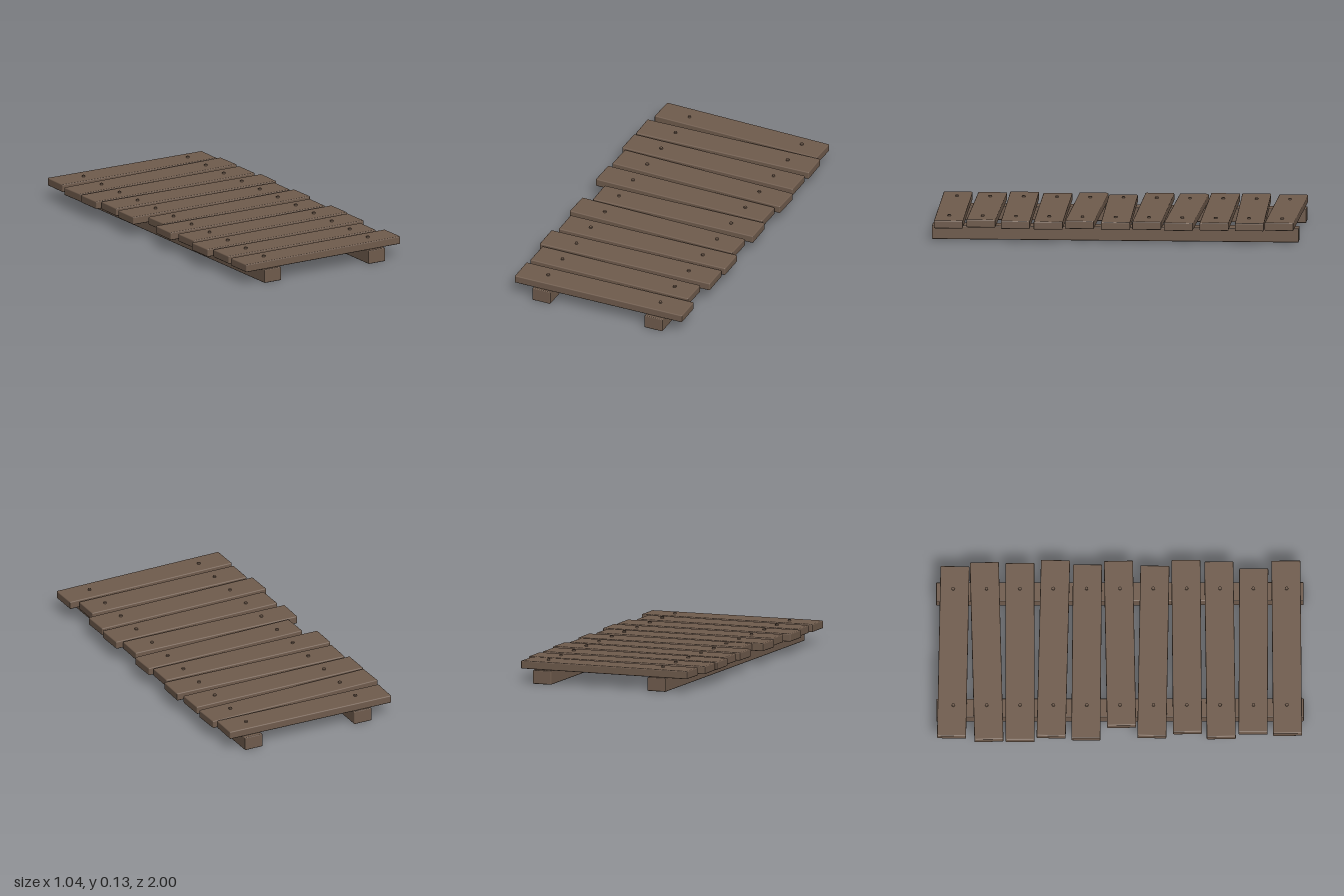
import * as THREE from 'three';
import { RoundedBoxGeometry } from 'three/addons/geometries/RoundedBoxGeometry.js';

export function createModel() {
  const group = new THREE.Group();
  group.name = 'plankWalkway';
  const wood = new THREE.MeshStandardMaterial({ name: 'weathered brown wood', color: 0x705c4d });

  const add = (name, geometry, x, y, z) => {
    const mesh = new THREE.Mesh(geometry, wood);
    mesh.name = name;
    mesh.position.set(x, y, z);
    group.add(mesh);
    return mesh;
  };

  // Two long bearers under the deck
  const railGeometry = new RoundedBoxGeometry(0.108, 0.076, 2, 2, 0.005);
  add('rightRail', railGeometry, -0.321, 0.038, 0);
  add('leftRail', railGeometry, 0.352, 0.038, 0);

  // Uneven planks, back to front: [right end x, left end x, z drift from end to end]
  const planks = [
    [-0.5, 0.485, 0.02], [-0.52, 0.508, -0.024], [-0.522, 0.503, 0],
    [-0.5, 0.52, 0.025], [-0.512, 0.494, 0.01], [-0.44, 0.515, -0.016],
    [-0.5, 0.487, 0.018], [-0.477, 0.52, -0.008], [-0.506, 0.511, -0.012],
    [-0.48, 0.47, 0.005], [-0.487, 0.515, -0.008],
  ];
  const nailGeometry = new THREE.CylinderGeometry(0.009, 0.009, 0.016, 12);

  planks.forEach(([x0, x1, drift], i) => {
    const z = (i - 5) * 0.1815;
    const length = x1 - x0;
    const plank = add('plank' + (i + 1),
      new RoundedBoxGeometry(length, 0.044, 0.158, 2, 0.006), (x0 + x1) / 2, 0.098, z);
    plank.rotation.y = -Math.atan2(drift, length);

    // Nail heads above each bearer
    for (const x of [-0.322, 0.352]) add('nail', nailGeometry, x, 0.12, z);
  });

  return group;
}
